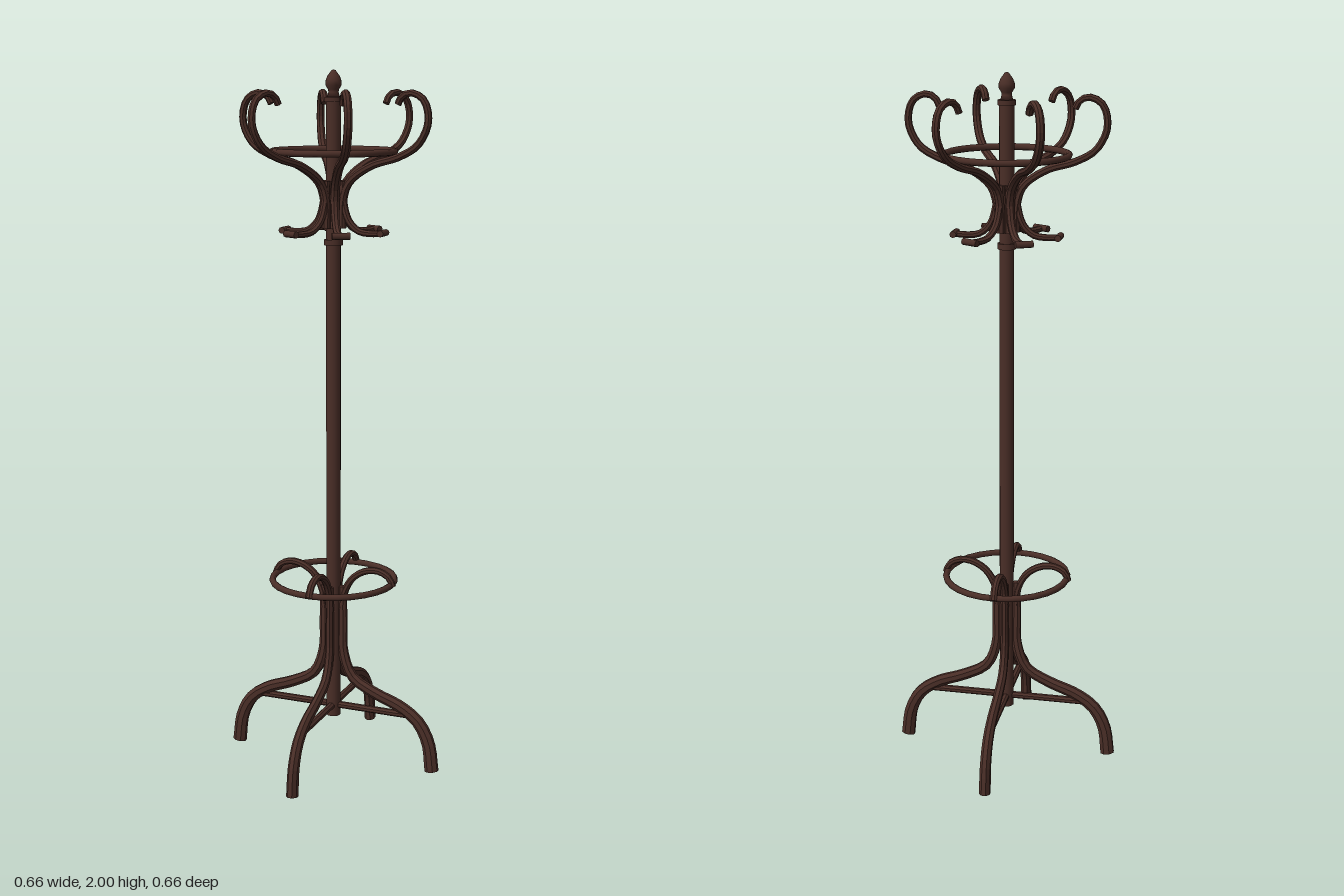
import * as THREE from 'three';

const wood = new THREE.MeshStandardMaterial({ color: 0x4a2e27 });
wood.name = 'darkWood';

// Capped bentwood rod swept along a curve in the xy plane.
// r0, r1: in-plane radius at start and end; flat: sideways radius ratio.
function rod(points, r0, r1, flat, steps, sides = 8) {
  const curve = new THREE.CatmullRomCurve3(points.map(([x, y]) => new THREE.Vector3(x, y, 0)));
  const rings = [], centres = [];
  for (let i = 0; i <= steps; i++) {
    const u = i / steps;
    const c = curve.getPointAt(u), t = curve.getTangentAt(u);
    const r = r0 + (r1 - r0) * u;
    const ring = [];
    for (let j = 0; j < sides; j++) {
      const a = ((j + 0.5) / sides) * Math.PI * 2;
      const n = Math.cos(a) * r;
      ring.push([c.x - t.y * n, c.y + t.x * n, Math.sin(a) * r * flat]);
    }
    rings.push(ring);
    centres.push([c.x, c.y, c.z]);
  }
  const pos = [];
  const tri = (a, b, c) => pos.push(...a, ...b, ...c);
  for (let j = 0; j < sides; j++) {
    const k = (j + 1) % sides;
    for (let i = 0; i < steps; i++) {
      const A = rings[i], B = rings[i + 1];
      tri(A[j], A[k], B[k]);
      tri(A[j], B[k], B[j]);
    }
    tri(centres[0], rings[0][k], rings[0][j]);
    tri(centres[steps], rings[steps][j], rings[steps][k]);
  }
  const g = new THREE.BufferGeometry();
  g.setAttribute('position', new THREE.Float32BufferAttribute(pos, 3));
  g.computeVertexNormals();
  return g;
}

export function createModel() {
  const model = new THREE.Group();
  model.name = 'coatStand';

  const add = (name, geometry, parent = model) => {
    const mesh = new THREE.Mesh(geometry, wood);
    mesh.name = name;
    parent.add(mesh);
    return mesh;
  };
  // Repeats a set of parts evenly around the post
  const around = (name, count, parts) => {
    for (let i = 0; i < count; i++) {
      const g = new THREE.Group();
      g.name = name + (i + 1);
      g.rotation.y = (i / count) * Math.PI * 2;
      for (const [part, geometry] of parts) add(part, geometry, g);
      model.add(g);
    }
  };

  // Central post with collars
  add('post', new THREE.CylinderGeometry(0.021, 0.021, 1.79, 12)).position.y = 1.025;
  const collar = (name, y, r, h) =>
    (add(name, new THREE.CylinderGeometry(r, r, h, 16)).position.y = y);
  collar('lowerCollar', 1.53, 0.026, 0.016);
  collar('upperCollar', 1.92, 0.025, 0.014);

  // Turned finial
  const finial = [
    [0, 1.925], [0.018, 1.925], [0.014, 1.94], [0.015, 1.947], [0.022, 1.958],
    [0.022, 1.97], [0.017, 1.983], [0.01, 1.992], [0.006, 1.998], [0, 2],
  ];
  add('finial', new THREE.LatheGeometry(finial.map(([x, y]) => new THREE.Vector2(x, y)), 16));

  // Hat ring and umbrella ring
  const ring = (name, y, r) => {
    const m = add(name, new THREE.TorusGeometry(r, 0.0095, 8, 28));
    m.rotation.x = Math.PI / 2;
    m.position.y = y;
  };
  ring('hatRing', 1.78, 0.17);
  ring('umbrellaRing', 0.55, 0.178);

  // Four legs, each with an umbrella arch and a horizontal brace
  const leg = rod([
    [0.029, 0.53], [0.029, 0.42], [0.031, 0.33], [0.06, 0.256], [0.13, 0.215],
    [0.21, 0.184], [0.265, 0.145], [0.297, 0.085], [0.309, 0],
  ], 0.013, 0.021, 0.8, 26);
  const arch = rod([
    [0.028, 0.46], [0.034, 0.51], [0.06, 0.558], [0.1, 0.584], [0.14, 0.588],
    [0.172, 0.572], [0.184, 0.546],
  ], 0.011, 0.0095, 1.1, 16);
  const brace = rod([[0, 0.162], [0.12, 0.162], [0.24, 0.162]], 0.01, 0.01, 1.1, 2);
  around('leg', 4, [['legBend', leg], ['umbrellaArch', arch], ['legBrace', brace]]);

  // Six scrolled hat hooks, each with a coat peg below
  const hook = rod([
    [0.026, 1.57], [0.027, 1.64], [0.045, 1.695], [0.11, 1.742], [0.19, 1.767],
    [0.245, 1.8], [0.274, 1.86], [0.262, 1.918], [0.228, 1.938], [0.2, 1.93], [0.187, 1.908],
  ], 0.012, 0.0095, 1.15, 32);
  const peg = rod([
    [0.026, 1.7], [0.03, 1.64], [0.046, 1.59], [0.075, 1.563], [0.11, 1.557], [0.148, 1.559],
  ], 0.011, 0.009, 1.15, 16);
  const pegEnd = new THREE.CylinderGeometry(0.0095, 0.0095, 0.05, 8);
  pegEnd.rotateX(Math.PI / 2);
  pegEnd.translate(0.147, 1.56, 0);
  around('hook', 6, [['hatHook', hook], ['coatPeg', peg], ['pegEnd', pegEnd]]);

  return model;
}
